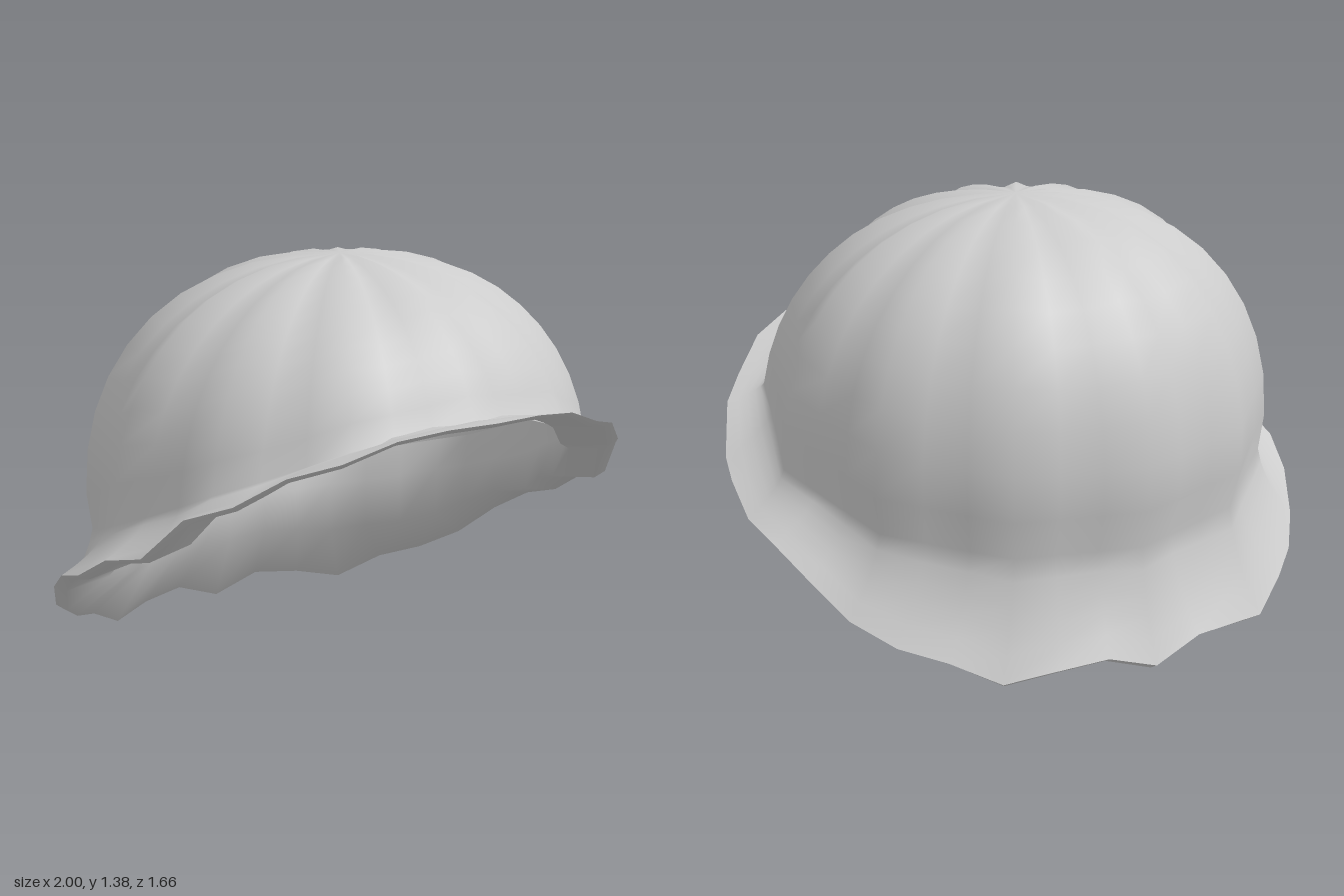
import * as THREE from 'three';
import { mergeVertices } from 'three/addons/utils/BufferGeometryUtils.js';

const COLUMNS = 36, RIBS = 12, DOME_RINGS = 11, FLARE_RINGS = 5;
const MID_Y = 0.6, DOME_H = 0.78, POWER = 1 / 1.1;

// Stepped heights under the brim every 10 degrees, from front to back
const BRIM_Y = [0.94, 0.94, 0.92, 0.86, 0.82, 0.73, 0.68, 0.54, 0.51, 0.43,
  0.39, 0.31, 0.2, 0.13, 0.09, 0.015, 0.045, 0.06, 0];

// Surface of columns and rings; point(column, ring) gives each corner.
function gridGeometry(rings, point) {
  const positions = [], index = [];
  const row = COLUMNS + 1;
  for (let k = 0; k <= rings; k++) {
    for (let i = 0; i <= COLUMNS; i++) positions.push(...point(i % COLUMNS, k).toArray());
  }
  for (let k = 0; k < rings; k++) {
    for (let i = 0; i < COLUMNS; i++) {
      const a = k * row + i, b = a + 1, c = a + row, d = c + 1;
      index.push(a, c, b, b, c, d);
    }
  }
  const g = new THREE.BufferGeometry();
  g.setAttribute('position', new THREE.Float32BufferAttribute(positions, 3));
  g.setIndex(index);
  const merged = mergeVertices(g, 1e-5);
  merged.computeVertexNormals();
  return merged;
}

const angle = (column) => (column / COLUMNS) * Math.PI * 2;

// Ring of the brim edge, the same on the left and the right
function brimPoint(column, scale, lift) {
  const theta = angle(column);
  const y = BRIM_Y[Math.min(column, COLUMNS - column)] + lift;
  return new THREE.Vector3(Math.sin(theta) * scale, y, Math.cos(theta) * 0.83 * scale);
}

// Ribbed dome from the crown (u = 0) to the tilted neck above the brim (u = 1)
function domePoint(column, u, inset = 0) {
  const theta = angle(column);
  const s = Math.sin(theta), c = Math.cos(theta);
  const neckY = 0.59 + 0.275 * c + 0.075 * c * c;
  const phiNeck = neckY >= MID_Y
    ? Math.acos(Math.pow((neckY - MID_Y) / DOME_H, 1.1))
    : Math.PI / 2 + (MID_Y - neckY) / DOME_H;
  const phi = phiNeck * u;
  let rise, f;
  if (phi <= Math.PI / 2) {
    rise = DOME_H * Math.pow(Math.max(0, Math.cos(phi)), POWER);
    f = Math.pow(Math.sin(phi), POWER);
  } else {
    rise = -DOME_H * (phi - Math.PI / 2);
    f = 1 - 0.06 * Math.pow(rise / 0.22, 2);
  }
  const rib = 1 + (0.026 * Math.cos(RIBS * theta) - 0.003) * Math.min(1, u * 2.5);
  const size = rib * (1 - inset);
  const y = MID_Y + (rise > 0 ? rise * rib : rise);
  return new THREE.Vector3(s * 0.85 * f * size, y, c * 0.765 * f * size);
}

// Dome followed by the flare that sweeps out to the brim
function shellPoint(column, k) {
  if (k <= DOME_RINGS) return domePoint(column, k / DOME_RINGS);
  const t = (k - DOME_RINGS) / FLARE_RINGS;
  const neck = domePoint(column, 1), edge = brimPoint(column, 1, 0.02);
  const out = 0.35 * t + 0.65 * t * t;
  return new THREE.Vector3(
    THREE.MathUtils.lerp(neck.x, edge.x, out),
    THREE.MathUtils.lerp(neck.y, edge.y, t),
    THREE.MathUtils.lerp(neck.z, edge.z, out)
  );
}

// Hem: from the brim edge, under the roll, inwards and up inside the dome
function hemPoint(column, k) {
  const roll = brimPoint(column, 0.96, 0);
  if (k === 0) return brimPoint(column, 1, 0.02);
  if (k === 1) return roll;
  if (k === 4) return domePoint(column, 0.92, 0.05);
  const neck = domePoint(column, 1, 0.06);
  if (k === 2) {
    // Nearly level at the front and sides, climbing towards the back
    const climb = 0.15 + 0.45 * Math.max(0, -Math.cos(angle(column)));
    neck.y = THREE.MathUtils.lerp(roll.y, neck.y, climb);
  }
  return neck;
}

export function createModel() {
  const cloth = new THREE.MeshStandardMaterial({ color: 0xcccccc, side: THREE.DoubleSide });
  cloth.name = 'pale grey cloth';

  const group = new THREE.Group();
  group.name = 'ribbedBonnet';
  const add = (name, geometry) => {
    const mesh = new THREE.Mesh(geometry, cloth);
    mesh.name = name;
    group.add(mesh);
  };

  add('domeAndBrim', gridGeometry(DOME_RINGS + FLARE_RINGS, shellPoint));
  add('foldedHem', gridGeometry(4, hemPoint));
  return group;
}
